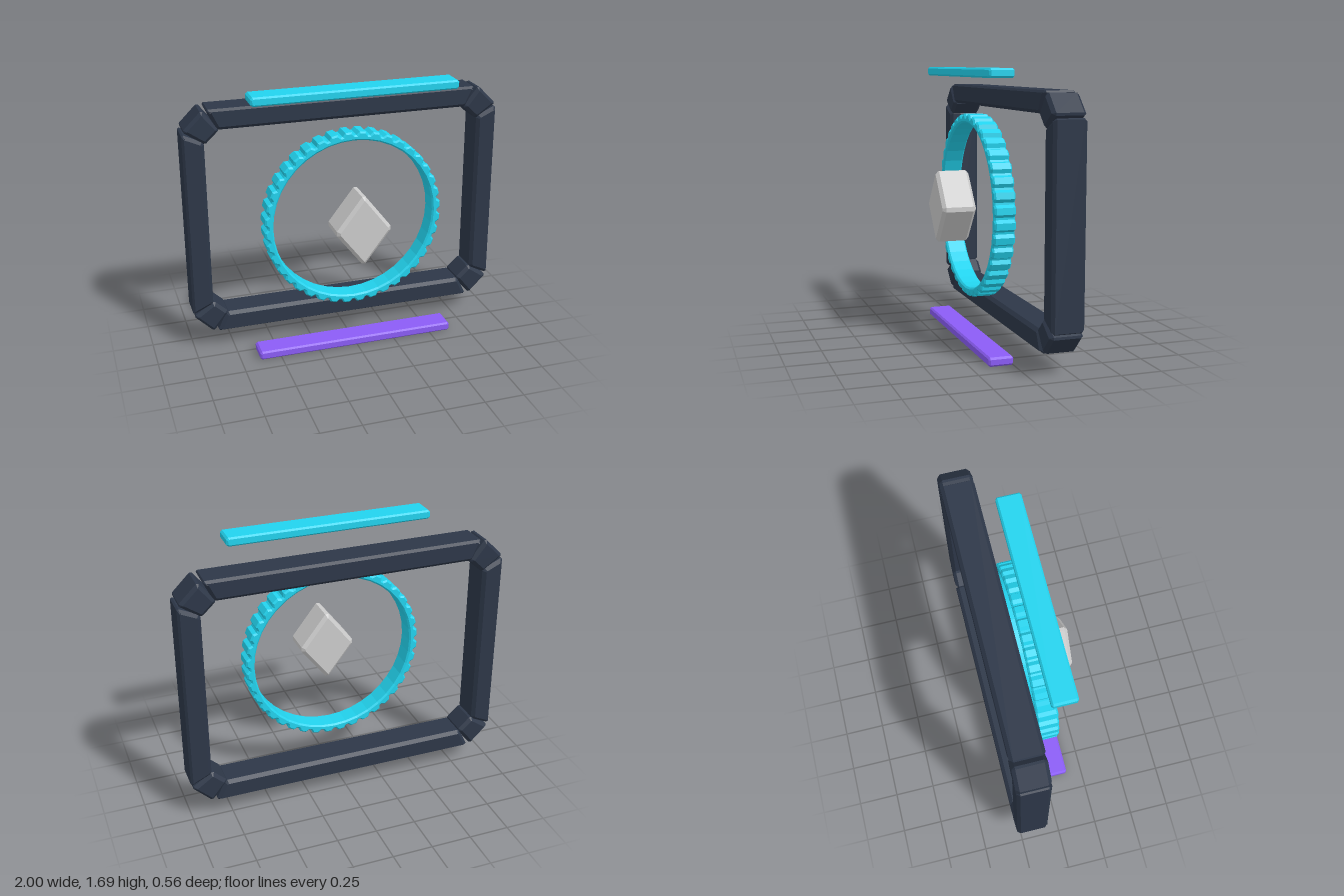
import * as THREE from 'three';

const CY = 0.845; // height of the common centre

const paint = (color) => new THREE.MeshStandardMaterial({ color, flatShading: true });

const points = (list) => list.map(([x, y]) => new THREE.Vector2(x, y));

// Cut each corner of a closed outline by a small distance along both edges
function cutCorners(list, cut) {
  const pts = points(list);
  const out = [];
  pts.forEach((p, i) => {
    const prev = pts[(i + pts.length - 1) % pts.length];
    const next = pts[(i + 1) % pts.length];
    for (const q of [prev, next]) {
      out.push(q.clone().sub(p).setLength(cut).add(p));
    }
  });
  return out;
}

// Outline extruded from z0 to z1 with chamfered front and back edges
function prism(name, outline, z0, z1, bevel, material, hole) {
  const shape = new THREE.Shape(outline);
  if (hole) shape.holes.push(new THREE.Path(hole));
  const geometry = new THREE.ExtrudeGeometry(shape, {
    depth: z1 - z0 - 2 * bevel,
    bevelThickness: bevel,
    bevelSize: bevel,
    bevelOffset: -bevel,
    bevelSegments: 1,
  });
  geometry.translate(0, 0, z0 + bevel);
  const mesh = new THREE.Mesh(geometry, material);
  mesh.name = name;
  return mesh;
}

export function createModel() {
  const model = new THREE.Group();
  model.name = 'framedRing';
  const dark = paint(0x2d3748);
  const cyan = paint(0x22d3ee);
  const purple = paint(0x8b5cf6);
  const grey = paint(0xcccccc);

  // Frame: four mitred bars and four slanted corner blocks
  const frame = new THREE.Group();
  frame.name = 'frame';
  frame.position.y = CY;
  const topBar = [[-0.79, 0.6], [0.79, 0.6], [0.85, 0.727], [-0.85, 0.727]];
  const sideBar = [[0.87, -0.53], [1, -0.59], [1, 0.59], [0.87, 0.53]];
  const corner = [[0.865, 0.515], [0.995, 0.605], [0.875, 0.725], [0.775, 0.6]];
  const addBar = (name, list, sx, sy) => {
    const outline = cutCorners(list.map(([x, y]) => [x * sx, y * sy]), 0.012);
    frame.add(prism(name, outline, -0.28, -0.08, 0.02, dark));
  };
  for (const s of [1, -1]) {
    addBar(s > 0 ? 'topBar' : 'bottomBar', topBar, 1, s);
    addBar(s > 0 ? 'leftBar' : 'rightBar', sideBar, s, 1);
    for (const t of [1, -1]) addBar('cornerBlock', corner, s, t);
  }
  model.add(frame);

  // Ring with a toothed rim
  const teeth = 40;
  const rim = [];
  const bore = [];
  const polar = (r, a) => new THREE.Vector2(r * Math.cos(a), r * Math.sin(a));
  for (let i = 0; i < teeth; i++) {
    const step = (Math.PI * 2) / teeth;
    const a = i * step;
    rim.push(polar(0.545, a), polar(0.565, a + step * 0.2));
    rim.push(polar(0.565, a + step * 0.65), polar(0.545, a + step * 0.85));
    bore.push(polar(0.512, a));
  }
  const ring = prism('toothedRing', rim, -0.04, 0.09, 0.01, cyan, bore);
  ring.position.y = CY;
  model.add(ring);

  // Diamond block floating in the middle
  const rhombus = [[0.18, 0], [0, 0.232], [-0.18, 0], [0, -0.232]];
  const diamond = prism('diamond', cutCorners(rhombus, 0.018), 0.07, 0.28, 0.02, grey);
  diamond.position.y = CY;
  model.add(diamond);

  // Flat plates above and below
  const plate = [[-0.635, -0.0275], [0.635, -0.0275], [0.635, 0.0275], [-0.635, 0.0275]];
  const addPlate = (name, y, material) => {
    const mesh = prism(name, cutCorners(plate, 0.012), 0, 0.15, 0.01, material);
    mesh.position.y = y;
    model.add(mesh);
  };
  addPlate('upperPlate', 1.6625, cyan);
  addPlate('lowerPlate', 0.0275, purple);

  return model;
}
